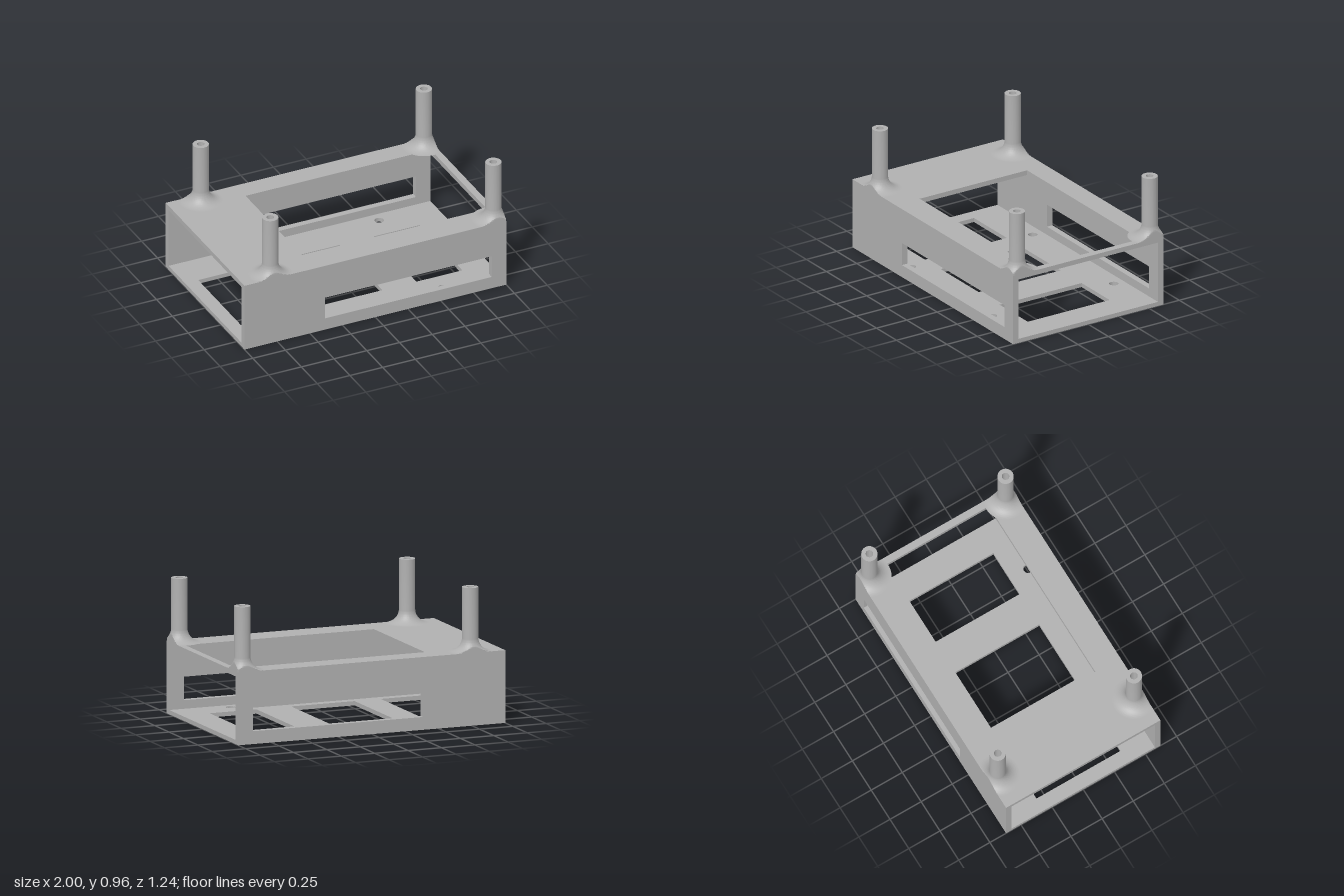
import * as THREE from 'three';
import { toCreasedNormals } from 'three/addons/utils/BufferGeometryUtils.js';

const W = 1, D = 0.62;                 // half width and half depth
const FLOOR = 0.03, CEIL = 0.475, TOP = 0.51, WALL = 0.045;
const POST_X = [-0.768, 0.937], POST_Z = [-0.547, 0.547];
const POST_R = 0.056, BORE_R = 0.026, POST_TOP = 0.96, FILLET = 0.097;

function rect(Type, x0, x1, y0, y1) {
  const p = new Type();
  p.moveTo(x0, y0);
  p.lineTo(x1, y0);
  p.lineTo(x1, y1);
  p.lineTo(x0, y1);
  p.closePath();
  return p;
}

function circle(x, y, r) {
  return new THREE.Path().absarc(x, y, r, 0, Math.PI * 2, true);
}

function extrude(shape, depth) {
  return new THREE.ExtrudeGeometry(shape, { depth, bevelEnabled: false, curveSegments: 32 });
}

// Horizontal plate with windows [x0, x1, z0, z1] and round holes
function plate(windows, xs, zs, r, y, thickness) {
  const shape = rect(THREE.Shape, -W, W, -D, D);
  for (const [x0, x1, z0, z1] of windows) shape.holes.push(rect(THREE.Path, x0, x1, -z1, -z0));
  for (const x of xs) for (const z of zs) shape.holes.push(circle(x, -z, r));
  return extrude(shape, thickness).rotateX(-Math.PI / 2).translate(0, y, 0);
}

// Hollow post with a flared foot trimmed flush with the case sides
function postGeometry(cx, cz) {
  const profile = [];
  const steps = 24;
  for (let i = 0; i <= steps; i++) {
    const a = (i / steps) * Math.PI / 2;
    profile.push(new THREE.Vector2(
      POST_R + FILLET * (1 - Math.sin(a)), TOP + FILLET * (1 - Math.cos(a))));
  }
  profile.push(
    new THREE.Vector2(POST_R, POST_TOP),
    new THREE.Vector2(BORE_R, POST_TOP),
    new THREE.Vector2(BORE_R, TOP));
  const geo = new THREE.LatheGeometry(profile, 64);
  const pos = geo.attributes.position;
  for (let i = 0; i < pos.count; i++) {
    const x = pos.getX(i), z = pos.getZ(i);
    const limitX = x > 0 ? W - cx : W + cx;
    const limitZ = z > 0 ? D - cz : D + cz;
    const k = Math.min(1, limitX / Math.max(Math.abs(x), 1e-6), limitZ / Math.max(Math.abs(z), 1e-6));
    pos.setX(i, x * k + cx);
    pos.setZ(i, z * k + cz);
  }
  return toCreasedNormals(geo, 0.5);
}

export function createModel() {
  const group = new THREE.Group();
  const grey = new THREE.MeshStandardMaterial({ color: 0xb0b0b0 });
  grey.name = 'grey';

  const add = (name, geometry) => {
    const mesh = new THREE.Mesh(geometry, grey);
    mesh.name = name;
    group.add(mesh);
    return mesh;
  };

  // Floor with three windows and four screw holes
  add('floor', toCreasedNormals(plate(
    [[-0.9, -0.49, -0.315, 0.36], [-0.295, 0.18, -0.315, 0.36], [0.44, 0.79, -0.315, 0.36]],
    [-0.44, 0.57], [-0.495, 0.505], 0.032, 0, FLOOR), 0.5));

  // Roof with one large opening and the post bores
  add('roof', toCreasedNormals(plate(
    [[-0.465, 0.95, -0.465, 0.42]], POST_X, POST_Z, BORE_R, CEIL, TOP - CEIL), 0.5));

  // Long walls, each with a slot
  for (const [name, z] of [['frontWall', D - WALL], ['backWall', -D]]) {
    const shape = rect(THREE.Shape, -W, W, FLOOR, CEIL);
    shape.holes.push(rect(THREE.Path, -0.385, 0.89, 0.09, 0.255));
    add(name, extrude(shape, WALL).translate(0, 0, z));
  }

  // Four corner posts
  for (const x of POST_X) {
    for (const z of POST_Z) {
      add((z > 0 ? 'front' : 'back') + (x > 0 ? 'Left' : 'Right') + 'Post', postGeometry(x, z));
    }
  }
  return group;
}
